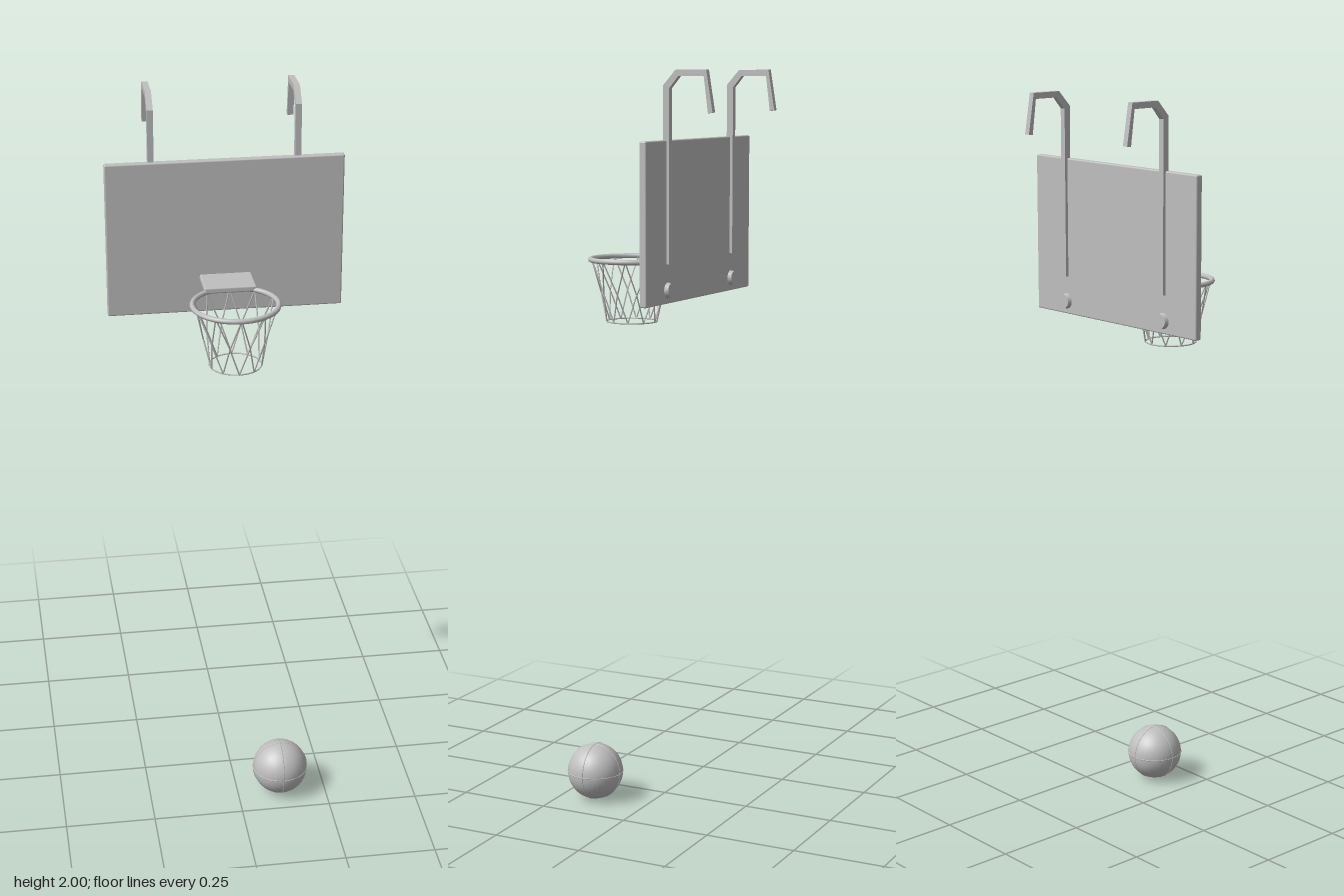
import * as THREE from 'three';
import { RoundedBoxGeometry } from 'three/addons/geometries/RoundedBoxGeometry.js';

const grey = new THREE.MeshStandardMaterial({ color: 0xbfbfbf });
grey.name = 'plain grey';

function add(parent, name, geometry, x = 0, y = 0, z = 0) {
  const mesh = new THREE.Mesh(geometry, grey);
  mesh.name = name;
  mesh.position.set(x, y, z);
  parent.add(mesh);
  return mesh;
}

// Thin round cord between two points
function cord(parent, name, a, b, radius) {
  const mesh = add(parent, name, new THREE.CylinderGeometry(radius, radius, a.distanceTo(b), 5));
  mesh.position.copy(a).lerp(b, 0.5);
  mesh.quaternion.setFromUnitVectors(new THREE.Vector3(0, 1, 0), b.clone().sub(a).normalize());
}

export function createModel() {
  const model = new THREE.Group();
  model.name = 'doorHoopSet';

  add(model, 'backboard', new RoundedBoxGeometry(0.63, 0.42, 0.02, 2, 0.004), 0, 1.612, -0.095);

  // Hooks that hang over a door, drawn as a side outline and extruded sideways
  const outline = [
    [-0.095, 1.505], [-0.095, 1.96], [-0.131, 2], [-0.217, 2], [-0.235, 1.893],
    [-0.222, 1.891], [-0.21, 1.984], [-0.139, 1.984], [-0.113, 1.953], [-0.113, 1.505],
  ].map(([z, y]) => new THREE.Vector2(-z, y));
  for (const side of [-1, 1]) {
    const hook = new THREE.ExtrudeGeometry(new THREE.Shape(outline), { depth: 0.016, bevelEnabled: false });
    hook.translate(0, 0, -0.008).rotateY(Math.PI / 2);
    add(model, 'doorHook', hook, side * 0.193, 0, 0);
    const pad = new THREE.CylinderGeometry(0.018, 0.021, 0.011, 20).rotateX(-Math.PI / 2);
    add(model, 'bumperPad', pad, side * 0.193, 1.437, -0.11);
  }

  // Rim and its mounting plate
  add(model, 'rimBracket', new RoundedBoxGeometry(0.138, 0.016, 0.102, 2, 0.004), 0, 1.5, -0.037);
  const rim = new THREE.TorusGeometry(0.112, 0.007, 10, 32).rotateX(Math.PI / 2);
  add(model, 'rim', rim, 0, 1.495, 0.1);

  // Net: V-shaped cords from the rim joining into tails tied to a lower loop
  const net = new THREE.Group();
  net.name = 'net';
  net.position.z = 0.1;
  model.add(net);
  const count = 10;
  const knot = (i, r, y) => {
    const a = (i / count) * Math.PI * 2;
    return new THREE.Vector3(Math.sin(a) * r, y, Math.cos(a) * r);
  };
  for (let i = 0; i < count; i++) {
    const joint = knot(i + 0.5, 0.085, 1.405);
    cord(net, 'netCord', knot(i, 0.109, 1.495), joint, 0.002);
    cord(net, 'netCord', knot(i + 1, 0.109, 1.495), joint, 0.002);
    cord(net, 'netCord', joint, knot(i, 0.069, 1.327), 0.002);
    cord(net, 'netCord', joint, knot(i + 1, 0.069, 1.327), 0.002);
  }
  add(net, 'netLoop', new THREE.TorusGeometry(0.069, 0.002, 5, 20).rotateX(Math.PI / 2), 0, 1.327, 0);

  // Ball with three raised seams
  const ball = new THREE.Group();
  ball.name = 'ball';
  ball.position.set(0.122, 0.079, 0.155);
  model.add(ball);
  add(ball, 'ballBody', new THREE.SphereGeometry(0.077, 28, 20));
  for (const [rx, ry] of [[0, 0], [Math.PI / 2, 0], [0, Math.PI / 2]]) {
    add(ball, 'ballSeam', new THREE.TorusGeometry(0.0765, 0.0018, 6, 40).rotateX(rx).rotateY(ry));
  }
  return model;
}
